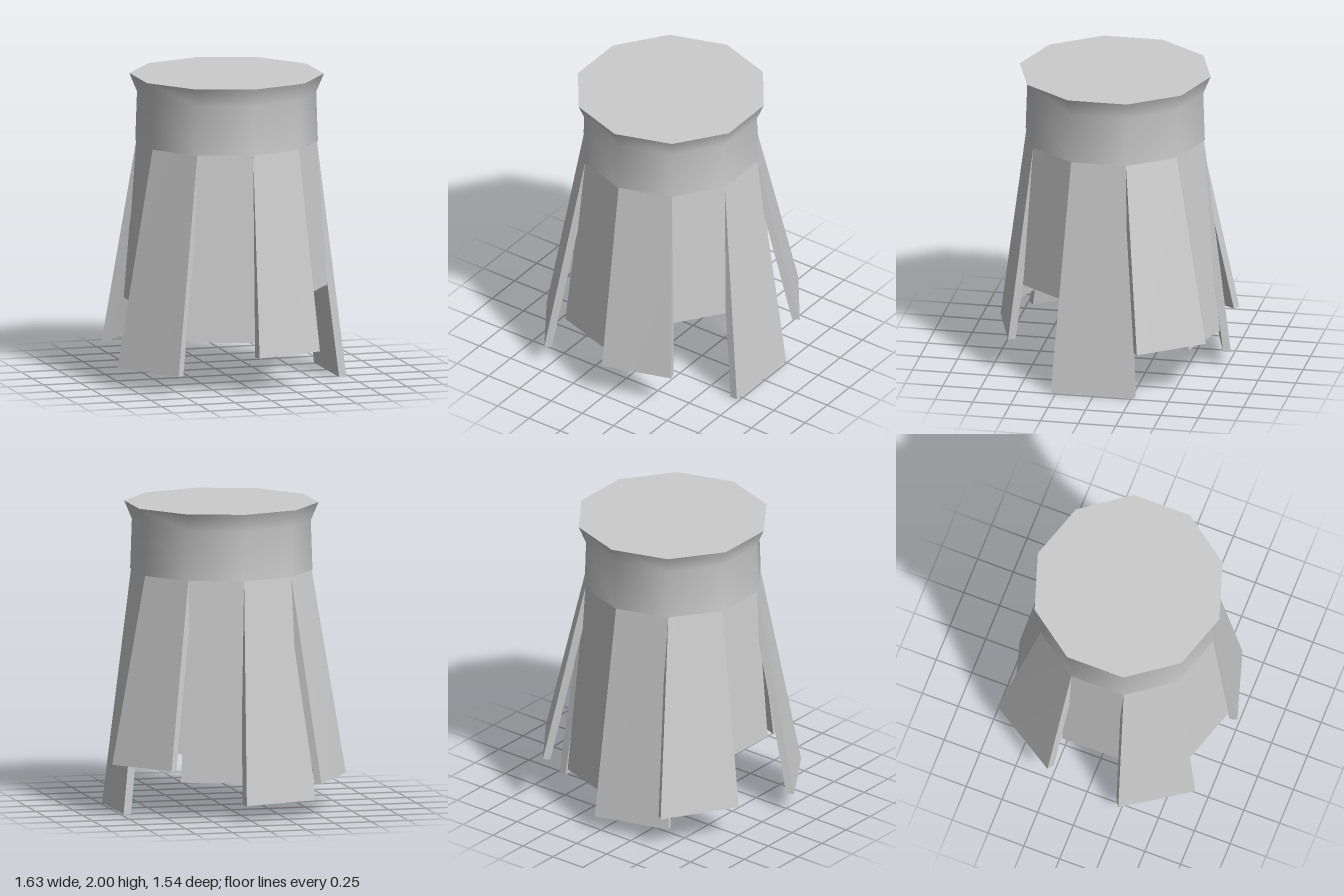
import * as THREE from 'three';

const SIDES = 10;
const COLLAR_BOTTOM = 1.555;
const SLAT_THICKNESS = 0.05;

// Per slat, counted around from +x: height of the lower end, then the outer
// lower corners as x, z (right corner, left corner when seen from outside).
const SLATS = [
  [0.0, 0.73, -0.27, 0.73, 0.285],
  [0.61, 0.625, 0.225, 0.4, 0.535],
  [0.24, 0.445, 0.625, -0.01, 0.765],
  [0.335, -0.015, 0.71, -0.44, 0.57],
  [0.13, -0.535, 0.675, -0.82, 0.245],
  [0.51, -0.635, 0.2, -0.635, -0.22],
  [0.22, -0.77, -0.27, -0.485, -0.73],
  [0.1, -0.47, -0.63, 0.03, -0.775],
  [0.24, 0.02, -0.7, 0.42, -0.57],
  [0.335, 0.52, -0.705, 0.815, -0.305],
];

// A box whose eight corners are moved to the collar edge and the lower corners
function slatGeometry(index, [bottom, rx, rz, lx, lz]) {
  const angle = (index * 2 * Math.PI) / SIDES;
  const geometry = new THREE.BoxGeometry(1, 1, 1);
  const p = geometry.attributes.position;
  for (let i = 0; i < p.count; i++) {
    const right = p.getX(i) > 0;
    const top = p.getY(i) > 0;
    const inset = p.getZ(i) > 0 ? 0 : SLAT_THICKNESS;
    const corner = angle + (right ? -1 : 1) * Math.PI / SIDES;
    const x = top ? 0.59 * Math.cos(corner) : right ? rx : lx;
    const z = top ? 0.59 * Math.sin(corner) : right ? rz : lz;
    p.setXYZ(i, x - inset * Math.cos(angle), top ? COLLAR_BOTTOM : bottom, z - inset * Math.sin(angle));
  }
  geometry.computeVertexNormals();
  return geometry;
}

export function createModel() {
  const model = new THREE.Group();
  const material = new THREE.MeshStandardMaterial({ color: 0xcccccc });
  const add = (name, geometry, parent = model) => {
    const mesh = new THREE.Mesh(geometry, material);
    mesh.name = name;
    parent.add(mesh);
    return mesh;
  };

  // Ten-sided collar with a flared rim
  const profile = [[0.596, COLLAR_BOTTOM], [0.585, 1.88], [0.635, 2]];
  add('collar', new THREE.LatheGeometry(profile.map(([r, y]) => new THREE.Vector2(r, y)), SIDES));

  // Flat lids closing the collar
  const lid = (r) => new THREE.CircleGeometry(r, SIDES, Math.PI / 2);
  add('collarTop', lid(0.635).rotateX(-Math.PI / 2)).position.y = 2;
  add('collarUnderside', lid(0.596).rotateX(Math.PI / 2)).position.y = COLLAR_BOTTOM;

  // Ring of splayed slats of uneven length
  const slats = new THREE.Group();
  slats.name = 'slats';
  model.add(slats);
  SLATS.forEach((slat, i) => add(`slat${i + 1}`, slatGeometry(i, slat), slats));

  return model;
}
